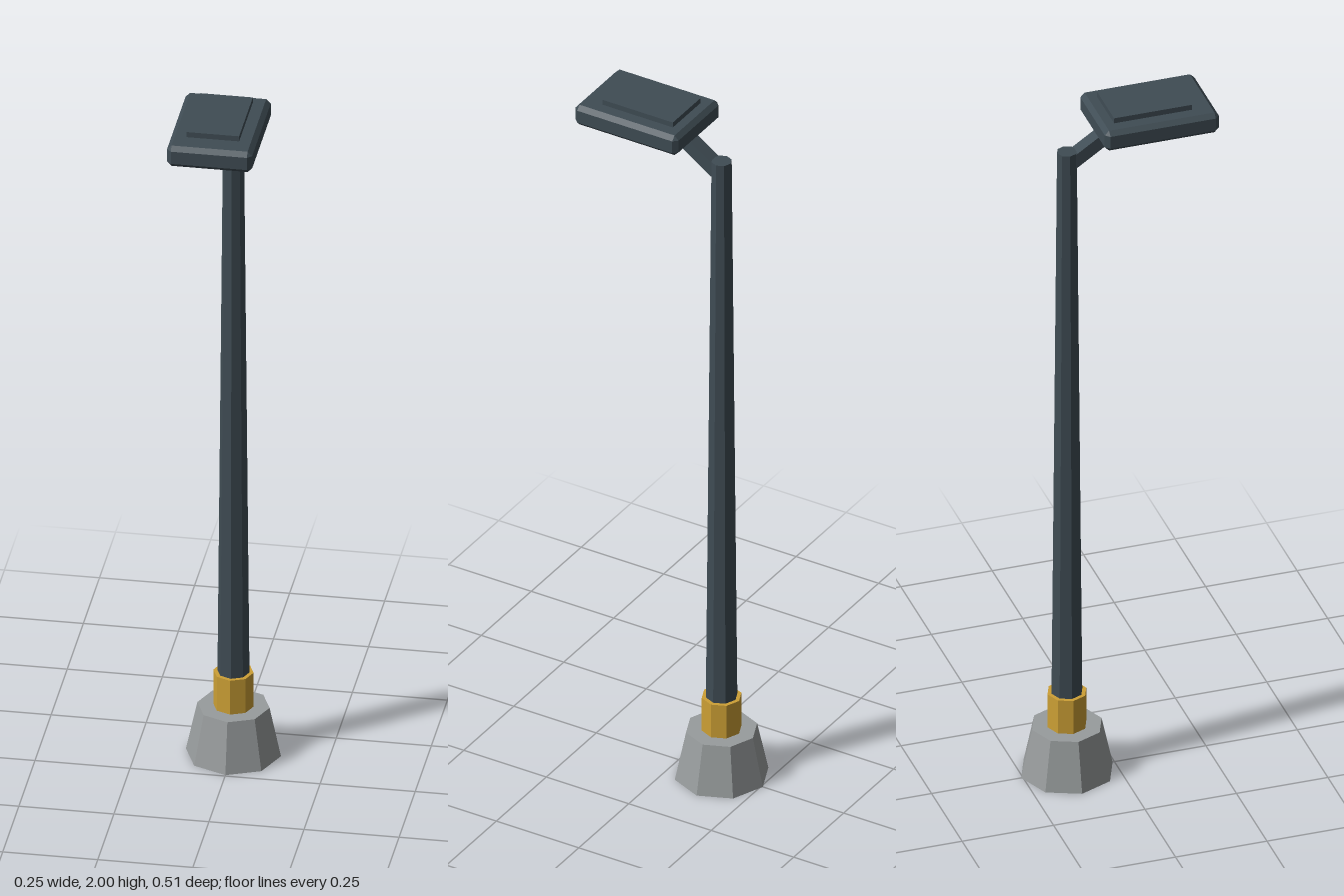
import * as THREE from 'three';
import { ConvexGeometry } from 'three/addons/geometries/ConvexGeometry.js';

const POLE_Z = -0.13;

function material(name, color) {
  const m = new THREE.MeshStandardMaterial({ color, flatShading: true });
  m.name = name;
  return m;
}

// Box with every edge and corner cut off by c
function chamferedBox(w, h, d, c) {
  const points = [];
  for (const sx of [-1, 1]) for (const sy of [-1, 1]) for (const sz of [-1, 1]) {
    for (let axis = 0; axis < 3; axis++) {
      const p = [w / 2 - c, h / 2 - c, d / 2 - c];
      p[axis] += c;
      points.push(new THREE.Vector3(sx * p[0], sy * p[1], sz * p[2]));
    }
  }
  return new ConvexGeometry(points);
}

export function createModel() {
  const group = new THREE.Group();
  const steel = material('darkSteel', 0x3f4c54);
  const concrete = material('concrete', 0x989c9d);
  const gold = material('goldPaint', 0xcda035);

  const add = (name, geometry, mat, x, y, z) => {
    const mesh = new THREE.Mesh(geometry, mat);
    mesh.name = name;
    mesh.position.set(x, y, z);
    group.add(mesh);
    return mesh;
  };
  // Eight-sided upright section standing between y0 and y1
  const column = (name, rTop, rBottom, y0, y1, mat) =>
    add(name, new THREE.CylinderGeometry(rTop, rBottom, y1 - y0, 8), mat, 0, (y0 + y1) / 2, POLE_Z);

  column('base', 0.095, 0.125, 0, 0.14, concrete);
  column('collar', 0.053, 0.053, 0.14, 0.24, gold);
  column('pole', 0.027, 0.043, 0.14, 1.88, steel);

  // Sloping arm from the pole top into the lamp head
  const start = new THREE.Vector3(0, 1.85, -0.12);
  const end = new THREE.Vector3(0, 1.952, 0.033);
  const arm = add('arm', new THREE.BoxGeometry(0.039, 0.035, start.distanceTo(end)), steel, 0, 0, 0);
  arm.position.copy(start).lerp(end, 0.5);
  arm.lookAt(end);

  // Lamp head with a raised cover on top
  add('lampHead', chamferedBox(0.224, 0.06, 0.312, 0.012), steel, 0, 1.955, 0.096);
  add('lampCover', new THREE.BoxGeometry(0.138, 0.03, 0.213), steel, 0, 1.985, 0.0825);

  return group;
}
